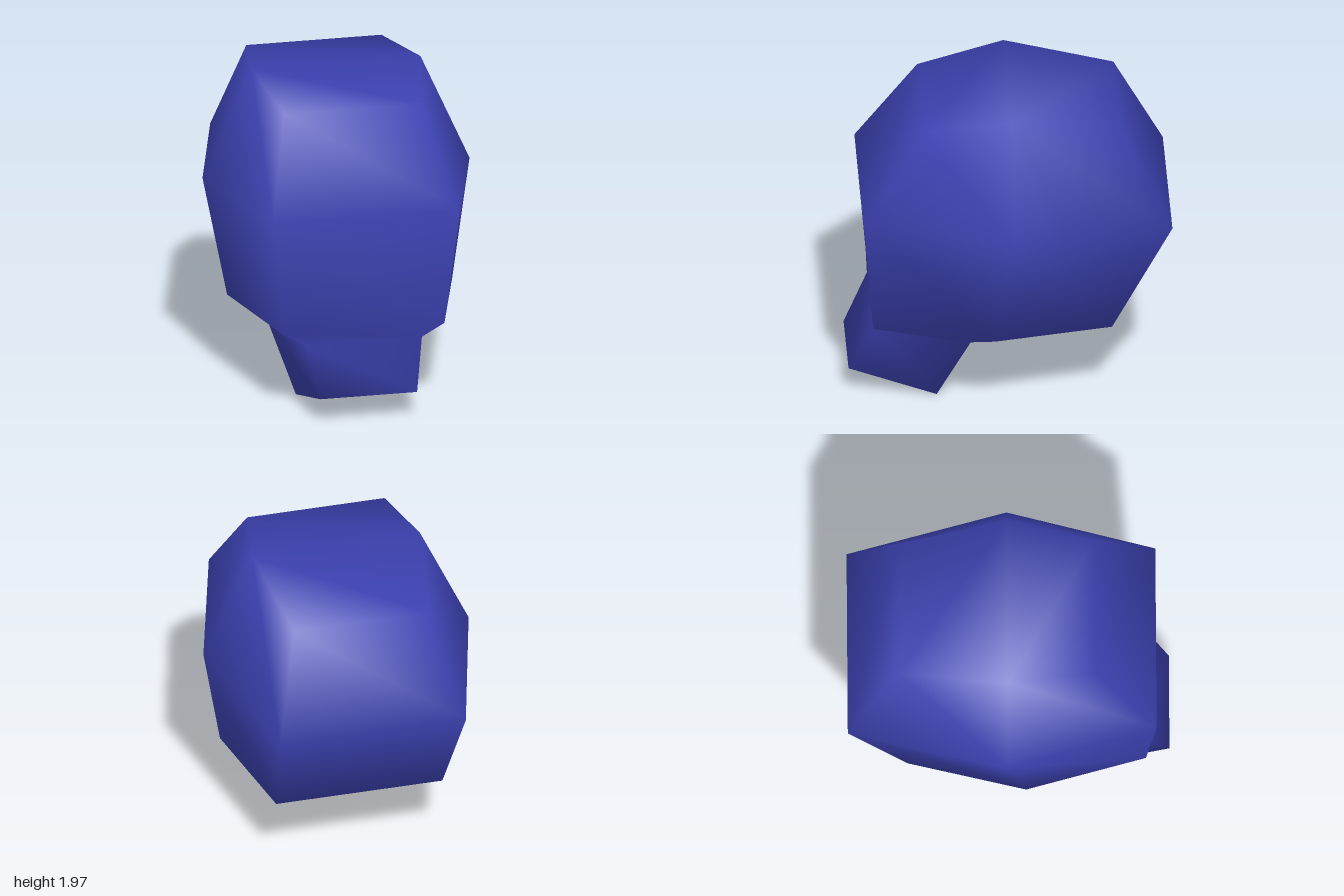
import * as THREE from 'three';

// Each station is [half width, y, z]; it is mirrored to give both sides.
const headRings = [
  [[0.43, 1.87, 0.53], [0.525, 1.97, 0.0], [0.42, 1.86, -0.665]],   // crown
  [[0.58, 1.31, 0.905], [0.83, 1.28, 0.0], [0.58, 1.24, -0.975]],   // widest ring
  [[0.50, 0.55, 0.84], [0.70, 0.55, 0.11], [0.52, 0.535, -0.61]],   // base
];
const neckRings = [
  [[0.36, 0.47, 0.84], [0.483, 0.43, 0.25]],
  [[0.30, 0.17, 0.985], [0.343, 0.0, 0.45]],
];

export function createModel() {
  const blue = new THREE.MeshStandardMaterial({ color: 0x3c41b0 });
  blue.name = 'blue';

  const positions = [];
  const index = [];
  const quad = (a, b, c, d) => index.push(a, b, c, a, c, d);

  // Adds a closed loop: down the left side, then back along the mirrored right.
  const addRing = (stations) => {
    const start = positions.length / 3;
    stations.forEach(([x, y, z]) => positions.push(x, y, z));
    [...stations].reverse().forEach(([x, y, z]) => positions.push(-x, y, z));
    return Array.from({ length: stations.length * 2 }, (_, i) => start + i);
  };
  const bridge = (upper, lower) => upper.forEach((a, i) => {
    const j = (i + 1) % upper.length;
    quad(a, lower[i], lower[j], upper[j]);
  });

  // Head shell with a ridged top
  const [crown, middle, base] = headRings.map(addRing);
  bridge(crown, middle);
  bridge(middle, base);
  quad(crown[0], crown[1], crown[4], crown[5]);
  quad(crown[1], crown[2], crown[3], crown[4]);

  // Underside behind the neck
  quad(base[4], base[3], base[2], base[1]);

  // Neck grows from the front half of the base
  const [neckTop, neckEnd] = neckRings.map(addRing);
  bridge([base[0], base[1], base[4], base[5]], neckTop);
  bridge(neckTop, neckEnd);
  quad(neckEnd[3], neckEnd[2], neckEnd[1], neckEnd[0]);

  const geometry = new THREE.BufferGeometry();
  geometry.setAttribute('position', new THREE.Float32BufferAttribute(positions, 3));
  geometry.setIndex(index);
  geometry.computeVertexNormals();

  const head = new THREE.Mesh(geometry, blue);
  head.name = 'headAndNeck';
  head.rotation.y = -0.042; // slight turn

  const model = new THREE.Group();
  model.name = 'headModel';
  model.add(head);
  return model;
}
